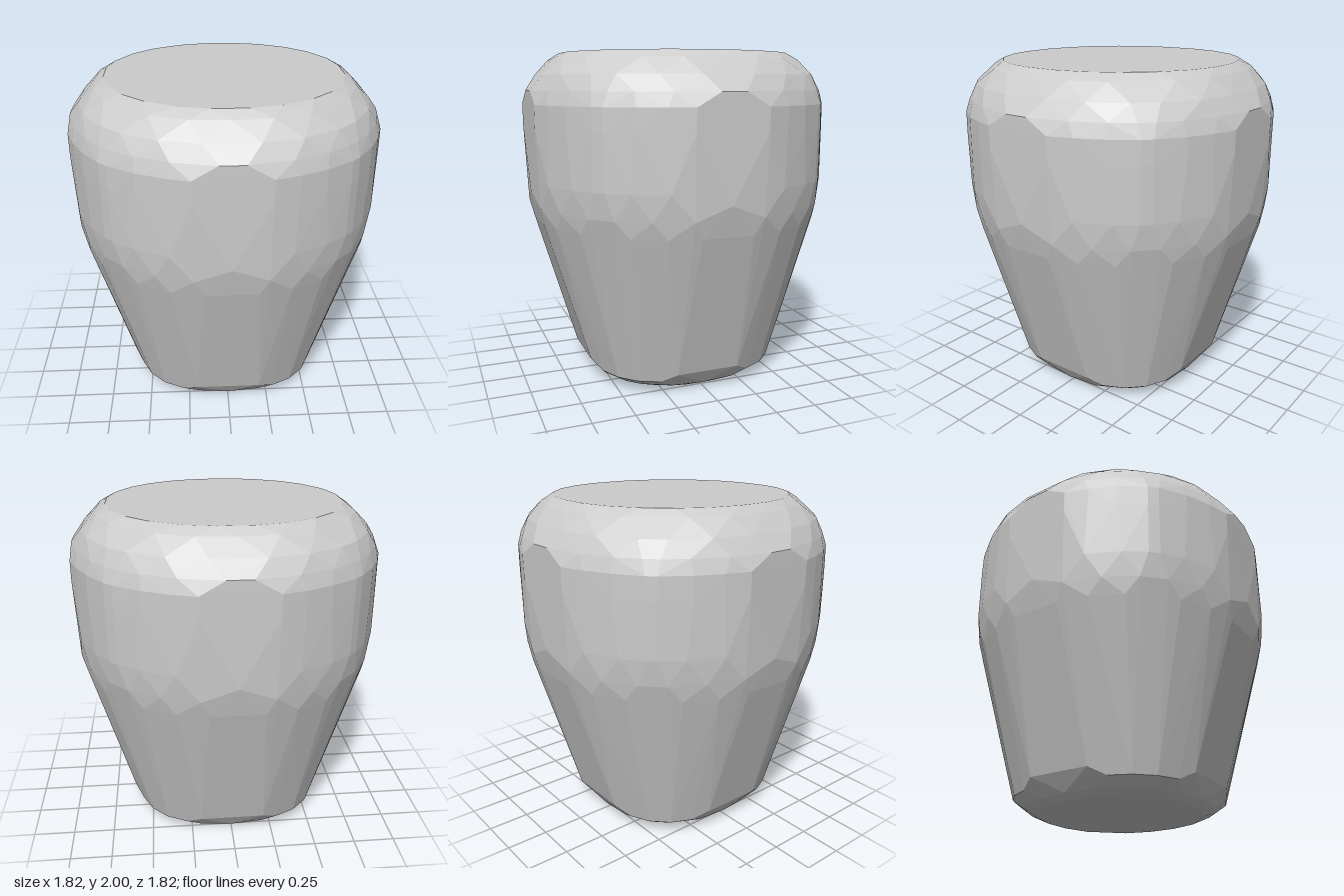
import * as THREE from 'three';
import { ConvexGeometry } from 'three/addons/geometries/ConvexGeometry.js';

// Rings of the body: height, then [degrees, radius] pairs within one eighth turn.
const RINGS = [
  // rounded foot
  [0, [[10, 0.49], [30, 0.5]]],
  [0.03, [[0, 0.545], [20, 0.56], [40, 0.57]]],
  [0.08, [[27, 0.625], [39, 0.642]]],
  [0.13, [[17.5, 0.64]]],
  // flaring wall
  [1.0, [[10, 0.884], [22, 0.895], [35, 0.9]]],
  [1.1, [[13, 0.915], [27, 0.918], [40, 0.925]]],
  [1.18, [[0, 0.912]]],
  [1.25, [[21, 0.932], [34, 0.936], [43, 0.943]]],
  // upright upper wall
  [1.57, [[13, 0.936], [32, 0.937], [43, 0.947]]],
  [1.7, [[13, 0.936], [22, 0.932], [32, 0.936], [43, 0.945]]],
  // rounded shoulder and flat top
  [1.78, [[4.5, 0.914], [20, 0.91], [33, 0.915], [42, 0.918]]],
  [1.87, [[10, 0.855], [25, 0.87], [40, 0.875]]],
  [1.96, [[0, 0.76], [16, 0.778], [32, 0.783]]],
  [2.0, [[8, 0.705], [22, 0.71], [38, 0.713]]],
];

export function createModel() {
  const points = [];
  for (const [y, ring] of RINGS) {
    for (const [deg, r] of ring) {
      // mirror within each quarter turn and repeat four times
      const mirrored = deg === 0 ? [0] : [deg, -deg];
      for (let quarter = 0; quarter < 4; quarter++) {
        for (const d of mirrored) {
          const a = THREE.MathUtils.degToRad(d + quarter * 90);
          points.push(new THREE.Vector3(r * Math.cos(a), y, r * Math.sin(a)));
        }
      }
    }
  }

  const body = new THREE.Mesh(
    new ConvexGeometry(points),
    new THREE.MeshStandardMaterial({ color: 0xcccccc, flatShading: true })
  );
  body.name = 'facetedBody';

  const group = new THREE.Group();
  group.name = 'taperedBlock';
  group.add(body);
  return group;
}
